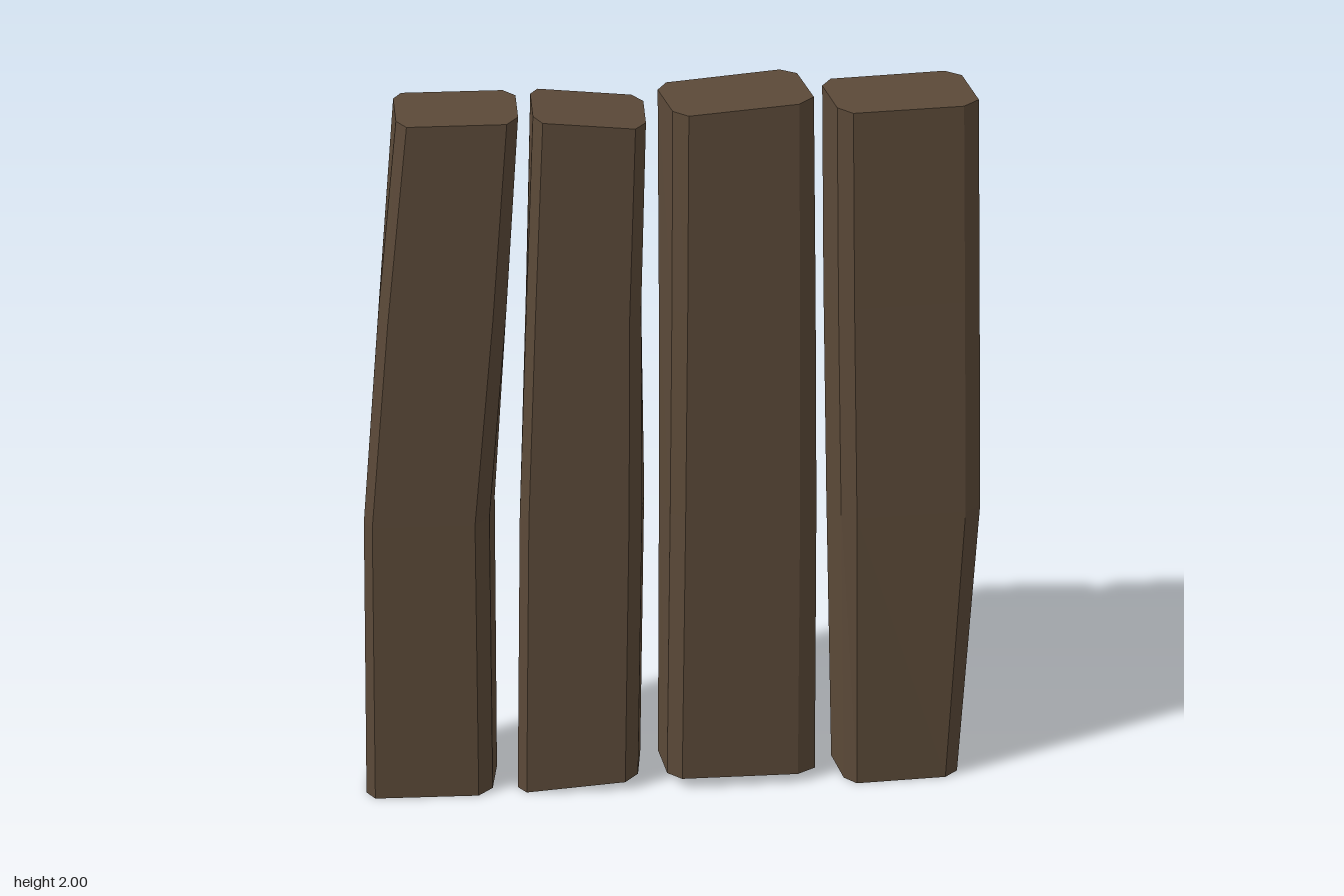
import * as THREE from 'three';

// Chamfered plank outlines, as [fraction of width, z], clockwise from above
const STRAIGHT = [[0, -0.055], [0.07, -0.08], [0.9, -0.076], [1, -0.05], [1, 0.05], [0.9, 0.083], [0.08, 0.08], [0, 0.05]];
const SLANTED = [[0, -0.045], [0.06, -0.075], [0.8, -0.093], [0.91, -0.07], [1, 0.045], [0.9, 0.073], [0.18, 0.088], [0.08, 0.06]];

// Rings run from bottom to top: [y left, y right, x left, x right, z shift, skew of x by z]
const PLANKS = [
  { name: 'plankFarRight', outline: STRAIGHT, rings: [
    [0, 0, -0.755, -0.44, 0.005, -0.17],
    [0.8, 0.8, -0.76, -0.447, 0.004, -0.2],
    [1.4, 1.4, -0.73, -0.41, 0.002, -0.1],
    [1.98, 1.98, -0.69, -0.385, 0, 0]] },
  { name: 'plankMiddleRight', outline: STRAIGHT, rings: [
    [0, 0.027, -0.38, -0.08, 0.005, -0.12],
    [0.8, 0.8, -0.375, -0.07, 0.003, -0.12],
    [1.4, 1.4, -0.362, -0.075, 0.002, -0.06],
    [1.98, 1.95, -0.348, -0.066, 0, 0]] },
  { name: 'plankMiddleLeft', outline: SLANTED, rings: [
    [0.035, 0.025, -0.037, 0.362, 0.008, -0.15],
    [0.8, 0.8, -0.032, 0.364, 0.003, -0.1],
    [1.4, 1.4, -0.03, 0.36, 0, -0.05],
    [1.98, 2.0, -0.03, 0.354, -0.008, 0]] },
  { name: 'plankFarLeft', outline: SLANTED, rings: [
    [0, 0, 0.402, 0.71, 0.005, 0],
    [0.78, 0.78, 0.39, 0.768, 0.002, 0],
    [1.4, 1.4, 0.383, 0.767, 0, 0],
    [1.98, 1.98, 0.38, 0.765, 0, 0]] },
];

// Joins the rings into a closed solid
function plankGeometry(outline, rings) {
  const positions = [];
  const index = [];
  const n = outline.length;
  for (const [yl, yr, xl, xr, shift, skew] of rings) {
    for (const [u, z] of outline) {
      positions.push(xl + u * (xr - xl) + skew * z, yl + u * (yr - yl), z + shift);
    }
  }
  for (let r = 0; r < rings.length - 1; r++) {
    for (let i = 0; i < n; i++) {
      const a = r * n + i, b = r * n + (i + 1) % n;
      index.push(a, a + n, b + n, a, b + n, b);
    }
  }
  // End caps
  const top = (rings.length - 1) * n;
  for (let i = 1; i < n - 1; i++) {
    index.push(0, i, i + 1);
    index.push(top, top + i + 1, top + i);
  }
  const geometry = new THREE.BufferGeometry();
  geometry.setAttribute('position', new THREE.Float32BufferAttribute(positions, 3));
  geometry.setIndex(index);
  const flat = geometry.toNonIndexed();
  flat.computeVertexNormals();
  return flat;
}

export function createModel() {
  const group = new THREE.Group();
  group.name = 'woodenPlanks';
  const wood = new THREE.MeshStandardMaterial({ color: 0x5b4938, flatShading: true });
  wood.name = 'darkWood';
  for (const { name, outline, rings } of PLANKS) {
    const mesh = new THREE.Mesh(plankGeometry(outline, rings), wood);
    mesh.name = name;
    group.add(mesh);
  }
  return group;
}
